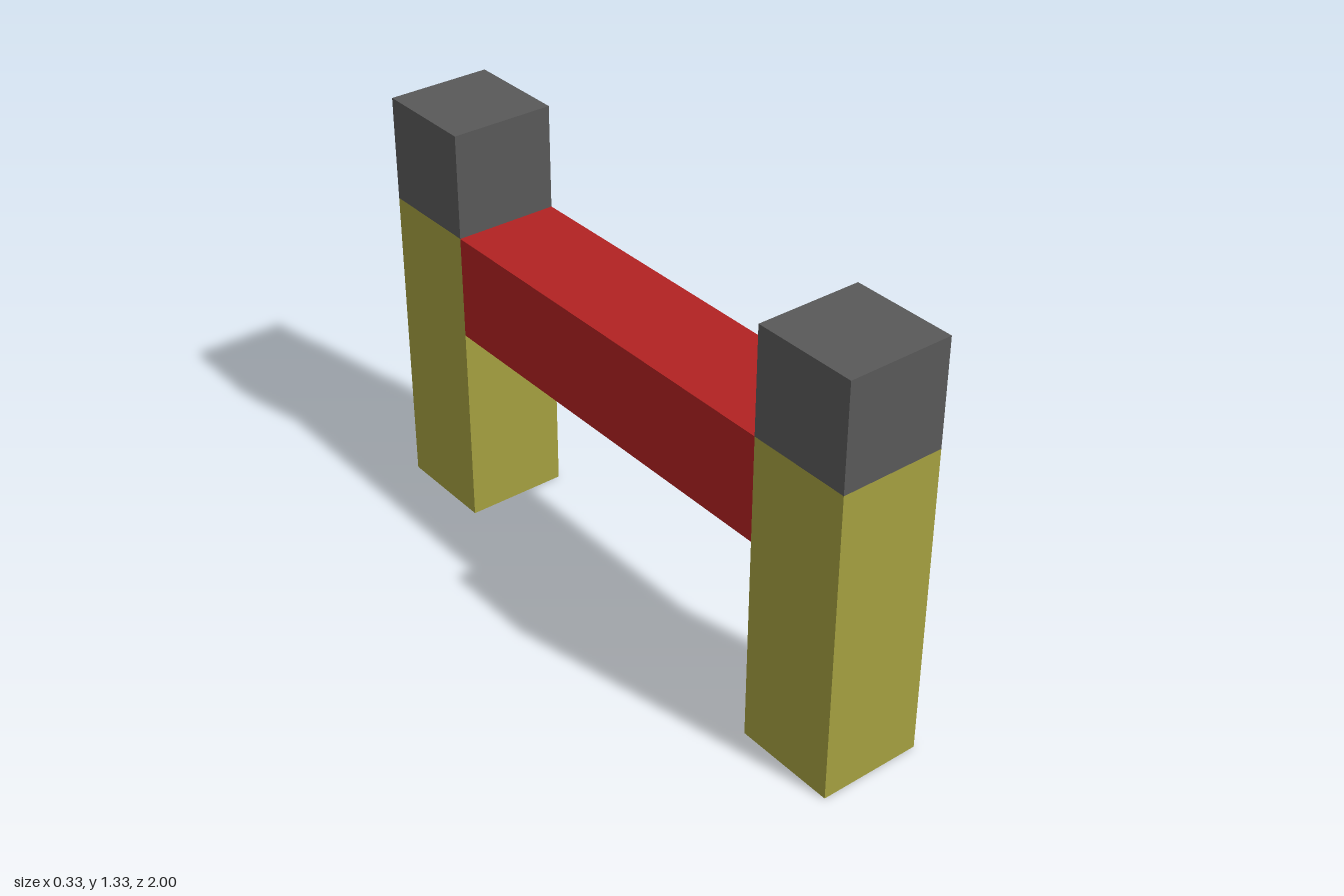
import * as THREE from 'three';

const U = 1 / 3; // square section shared by all parts

function makeMaterial(name, color) {
  const material = new THREE.MeshStandardMaterial({ color });
  material.name = name;
  return material;
}

function block(name, material, height, depth, bottom, z) {
  const mesh = new THREE.Mesh(new THREE.BoxGeometry(U, height, depth), material);
  mesh.name = name;
  mesh.position.set(0, bottom + height / 2, z);
  return mesh;
}

export function createModel() {
  const olive = makeMaterial('olive yellow', 0xa5a040);
  const grey = makeMaterial('dark grey', 0x595959);
  const red = makeMaterial('red', 0xb22222);

  const model = new THREE.Group();
  model.name = 'barrier';

  // Front and back posts, each with a cube cap
  for (const [side, sign] of [['front', 1], ['back', -1]]) {
    const z = sign * (1 - U / 2);
    model.add(block(side + 'Post', olive, 1, U, 0, z));
    model.add(block(side + 'Cap', grey, U, U, 1, z));
  }

  // Crossbar between the posts, level with their tops
  model.add(block('crossbar', red, U, 2 - 2 * U, 1 - U, 0));
  return model;
}
